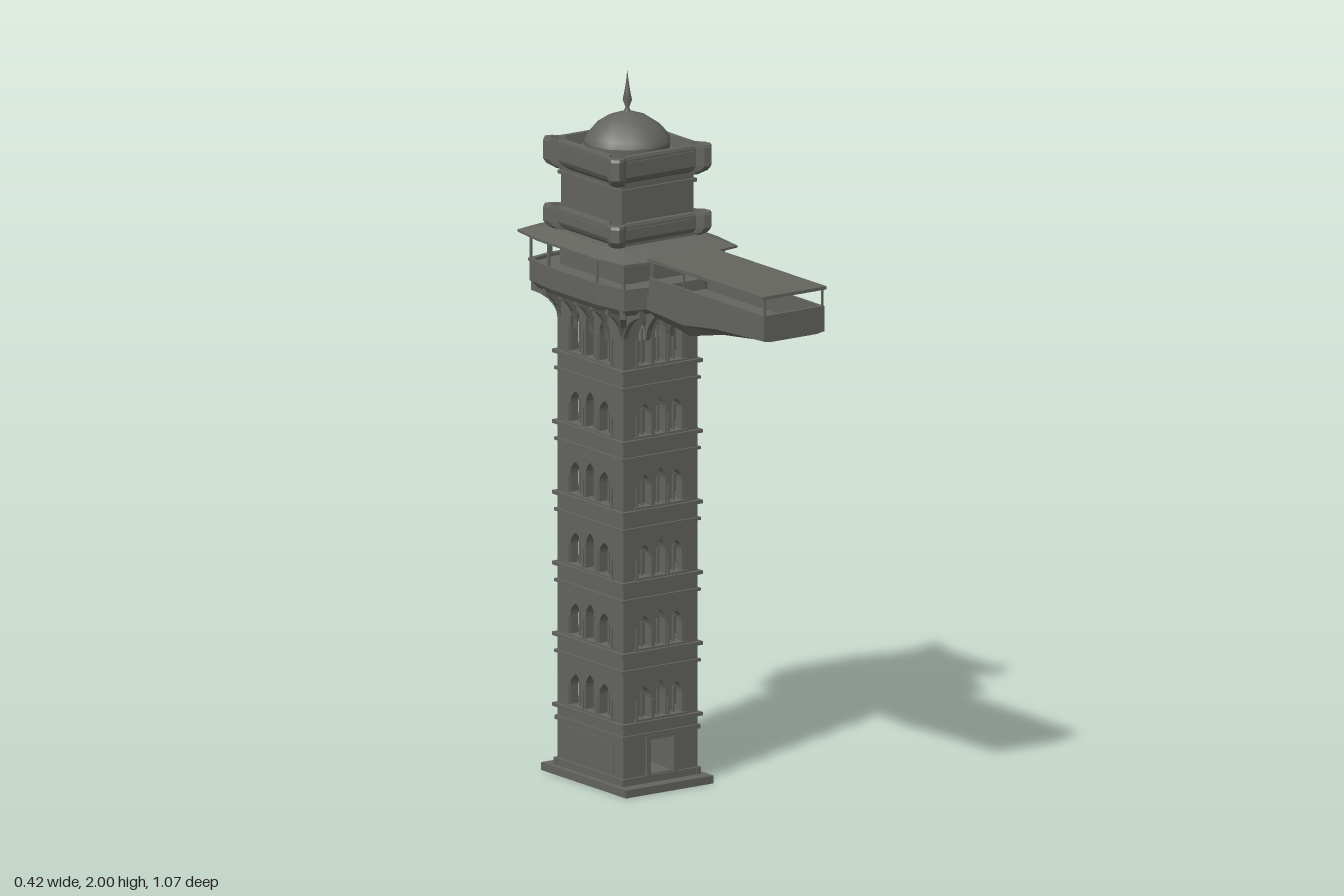
import * as THREE from 'three';

const CZ = -0.262; // tower axis in z
const HX = 0.125, HZ = 0.155; // tower half width and half depth
const WALL = 0.028;

export function createModel() {
  const model = new THREE.Group();
  model.name = 'lookoutTower';
  const stone = new THREE.MeshStandardMaterial({ color: 0x64645f });
  stone.name = 'dark grey stone';

  const tower = new THREE.Group();
  tower.name = 'tower';
  tower.position.z = CZ;
  model.add(tower);

  const add = (parent, name, geo, x = 0, y = 0, z = 0) => {
    const m = new THREE.Mesh(geo, stone);
    m.name = name;
    m.position.set(x, y, z);
    parent.add(m);
    return m;
  };
  const box = (parent, name, w, h, d, x, y, z) =>
    add(parent, name, new THREE.BoxGeometry(w, h, d), x, y + h / 2, z);

  // Flat-faced skin over a stack of equal-length rings, closed at both ends
  const loft = (rings) => {
    const pos = [];
    const tri = (...ps) => ps.forEach((p) => pos.push(...p));
    const n = rings[0].length;
    const mid = (r) => [0, 1, 2].map((k) => r.reduce((s, p) => s + p[k], 0) / n);
    const first = rings[0], last = rings[rings.length - 1];
    const c0 = mid(first), c1 = mid(last);
    for (let i = 0; i < n; i++) {
      const j = (i + 1) % n;
      for (let r = 0; r < rings.length - 1; r++) {
        const a = rings[r], b = rings[r + 1];
        tri(a[i], b[i], a[j]);
        tri(a[j], b[i], b[j]);
      }
      tri(c0, first[i], first[j]);
      tri(c1, last[j], last[i]);
    }
    const g = new THREE.BufferGeometry();
    g.setAttribute('position', new THREE.Float32BufferAttribute(pos, 3));
    g.computeVertexNormals();
    return g;
  };
  // Mirror a quarter outline (from the x axis to the z axis) into a full one
  const fourfold = (q) => {
    const half = [...q, ...[...q].reverse().map(([x, z]) => [-x, z])];
    return [...half, ...[...half].reverse().map(([x, z]) => [x, -z])];
  };
  // Levels are [scale, y]
  const stack = (outline, levels) =>
    loft(levels.map(([s, y]) => outline.map(([x, z]) => [x * s, y, z * s])));

  // Wall panel with openings [x, bottom, width, height, pointed]
  const wallPanel = (w, h, openings) => {
    const s = new THREE.Shape();
    s.moveTo(-w / 2, 0); s.lineTo(w / 2, 0); s.lineTo(w / 2, h); s.lineTo(-w / 2, h); s.closePath();
    for (const [x, y, ow, oh, pointed] of openings) {
      const p = new THREE.Path(), r = ow / 2, spring = pointed ? y + oh * 0.6 : y + oh;
      p.moveTo(x - r, y);
      p.lineTo(x - r, spring);
      if (pointed) {
        p.quadraticCurveTo(x - r, y + oh * 0.85, x, y + oh);
        p.quadraticCurveTo(x + r, y + oh * 0.85, x + r, spring);
      } else p.lineTo(x + r, spring);
      p.lineTo(x + r, y);
      p.closePath();
      s.holes.push(p);
    }
    return new THREE.ExtrudeGeometry(s, { depth: WALL, bevelEnabled: false, curveSegments: 4 });
  };
  // Four sides: [turn, half span, distance from the axis]
  const sides = [
    [0, HX, HZ], [Math.PI, HX, HZ], [Math.PI / 2, HZ, HX], [-Math.PI / 2, HZ, HX],
  ];
  const eachSide = (name, fn) => sides.forEach(([turn, span, dist], i) => {
    const g = new THREE.Group();
    g.name = name;
    g.rotation.y = turn;
    tower.add(g);
    fn(g, span, dist, i < 2);
  });

  // Plinth and ground storey with a passage from front to back
  box(tower, 'plinth', 0.296, 0.022, 0.4, 0, 0, 0);
  eachSide('groundStorey', (g, span, dist, hasDoor) => {
    const w = hasDoor ? 2 * (span - WALL) : 2 * span;
    add(g, 'groundWall', wallPanel(w, 0.17, hasDoor ? [[0.003, 0.025, 0.075, 0.095, false]] : []), 0, 0.02, dist - WALL);
    box(g, 'groundCorniceTrim', 2 * span + 0.012, 0.012, 0.012, 0, 0.15, dist);
    box(g, 'skirting', 2 * span + 0.016, 0.02, 0.014, 0, 0.022, dist);
    if (hasDoor) {
      for (const s of [-1, 1]) box(g, 'doorJamb', 0.014, 0.12, 0.012, 0.003 + s * 0.046, 0.03, dist);
      box(g, 'doorLintel', 0.11, 0.012, 0.014, 0.003, 0.142, dist);
    } else box(g, 'sidePanel', 0.22, 0.09, 0.006, 0, 0.05, dist);
  });

  // Six arcaded storeys around a solid core
  box(tower, 'core', 0.15, 1.07, 0.21, 0, 0.19, 0);
  for (let k = 0; k < 6; k++) {
    const y = 0.19 + k * 0.2, top = k === 5;
    box(tower, 'stringCourse', 2 * HX + 0.022, 0.01, 2 * HZ + 0.022, 0, y - 0.003, 0);
    if (!top) box(tower, 'upperStringCourse', 2 * HX + 0.014, 0.008, 2 * HZ + 0.014, 0, y + 0.15, 0);
    eachSide('storey', (g, span, dist, narrow) => {
      const step = narrow ? 0.053 : 0.068, ow = narrow ? 0.042 : 0.052;
      const rise = top ? 0.125 : 0.09;
      const arches = [-1, 0, 1].map((i) => [i * step, 0.014, i ? ow : ow * 0.85, i ? rise : rise + 0.012, true]);
      add(g, 'arcadeWall', wallPanel(narrow ? 2 * (span - WALL) : 2 * span, 0.2, arches), 0, y, dist - WALL);
      for (const i of [-1, 0, 1])
        add(g, 'mullion', new THREE.CylinderGeometry(0.0035, 0.0035, rise * 0.8, 6), i * step, y + 0.014 + rise * 0.4, dist - 0.014);
      for (const i of [-1.5, -0.5, 0.5, 1.5])
        box(g, 'archColumn', 0.007, rise * 0.62, 0.007, i * step, y + 0.01, dist);
      box(g, 'windowSill', 3 * step + 0.02, 0.006, 0.012, 0, y + 0.008, dist);
    });
  }

  // Curved brackets carrying the balcony
  const bracket = (reach) => {
    const s = new THREE.Shape();
    s.moveTo(0, 0);
    s.quadraticCurveTo(reach * 0.15, 0.075, reach, 0.09);
    s.lineTo(reach, 0.115);
    s.lineTo(0, 0.115);
    s.closePath();
    const g = new THREE.ExtrudeGeometry(s, { depth: 0.016, bevelEnabled: false, curveSegments: 5 });
    g.translate(0, 0, -0.008);
    g.rotateY(-Math.PI / 2);
    return g;
  };
  eachSide('bracketRow', (g, span, dist, narrow) => {
    const n = narrow ? 4 : 5;
    for (let i = 0; i < n; i++)
      add(g, 'bracket', bracket(narrow ? 0.08 : 0.055), (i / (n - 1) * 2 - 1) * (span - 0.008), 1.27, dist - 0.004);
  });
  for (const sx of [-1, 1]) for (const sz of [-1, 1]) {
    const b = add(tower, 'cornerBracket', bracket(0.085), sx * (HX - 0.008), 1.27, sz * (HZ - 0.008));
    b.rotation.y = Math.atan2(sx * 0.055, sz * 0.07);
  }

  // Balcony floor, parapet, posts and sloping roof
  const deck = fourfold([[0.21, 0.13], [0.192, 0.25], [0.1, 0.272]]);
  add(tower, 'balconyParapet', stack(deck, [[0.84, 1.368], [0.89, 1.385], [0.89, 1.44], [0.86, 1.44], [0.86, 1.395]]));
  add(tower, 'balconyRail', stack(deck, [[0.88, 1.438], [0.905, 1.44], [0.905, 1.447], [0.85, 1.447], [0.85, 1.438]]));
  for (const [x, z] of deck)
    box(tower, 'balconyPost', 0.006, 0.09, 0.006, x * 0.875, 1.44, z * 0.875);
  const roofPlan = [...deck];
  const front = (p) => [p[0], Math.min(p[1], 0.267)];
  const roofRing = (s, y) => roofPlan.map(front).map(([x, z]) => [x * s, y, z * s]);
  add(tower, 'balconyRoof', loft([roofRing(0.8, 1.528), roofRing(1, 1.519), roofRing(1, 1.525), roofRing(0.75, 1.545)]));

  // Upper shaft
  box(tower, 'balconyRoom', 2 * HX - 0.01, 0.19, 2 * HZ - 0.01, 0, 1.37, 0);
  box(tower, 'upperShaft', 0.242, 0.22, 0.285, 0, 1.54, 0);
  box(tower, 'upperShaftCornice', 0.256, 0.01, 0.3, 0, 1.695, 0);

  // Two parapet crowns with rounded corner bastions
  const crown = fourfold([
    [0.148, 0.05], [0.148, 0.12], [0.166, 0.137], [0.17, 0.16],
    [0.155, 0.178], [0.135, 0.174], [0.118, 0.158], [0.05, 0.158],
  ]);
  for (const [y, h] of [[1.54, 0.07], [1.715, 0.085]]) {
    add(tower, 'crownParapet', stack(crown, [
      [0.84, y], [0.96, y + 0.014], [1, y + 0.026], [1, y + h - 0.008], [0.985, y + h],
      [0.9, y + h], [0.87, y + h - 0.03],
    ]));
    eachSide('crownTrim', (g, span, dist) =>
      box(g, 'crownMoulding', 2 * span - 0.03, 0.007, 0.01, 0, y + h - 0.022, dist + (dist === HX ? 0.021 : 0.002)));
  }

  // Dome and spire
  const lathe = (pts, n) => new THREE.LatheGeometry(pts.map(([r, y]) => new THREE.Vector2(r, y)), n);
  add(tower, 'domeDrum', new THREE.CylinderGeometry(0.118, 0.118, 0.04, 12), 0, 1.785, 0);
  add(tower, 'dome', lathe([[0.12, 1.8], [0.113, 1.818], [0.09, 1.845], [0.055, 1.868], [0.02, 1.88], [0, 1.885]], 12));
  add(tower, 'spire', lathe([[0.014, 1.876], [0.005, 1.893], [0.013, 1.915], [0.007, 1.945], [0.004, 1.965], [0, 2]], 8));

  // Covered walkway reaching forward from the balcony
  const walkway = new THREE.Group();
  walkway.name = 'walkway';
  model.add(walkway);
  const X0 = -0.005, W = 0.102;
  const hullRing = ([z, low, side]) => [
    [X0 - W, 1.415, z], [X0 + W, 1.415, z], [X0 + W, side, z],
    [X0 + 0.075, low, z], [X0 - 0.075, low, z], [X0 - W, side, z],
  ];
  add(walkway, 'walkwayHull', loft([
    [-0.02, 1.36, 1.385], [0.08, 1.35, 1.38], [0.145, 1.34, 1.375], [0.3, 1.375, 1.395], [0.53, 1.402, 1.406],
  ].map(hullRing)));
  for (const s of [-1, 1]) {
    box(walkway, 'walkwayParapet', 0.008, 0.068, 0.54, X0 + s * (W - 0.004), 1.41, 0.26);
    for (const z of [0.004, 0.145, 0.526])
      box(walkway, 'walkwayPost', 0.005, 0.055, 0.005, X0 + s * (W - 0.005), 1.475, z);
  }
  box(walkway, 'walkwayEndParapet', 2 * W, 0.068, 0.008, X0, 1.41, 0.526);
  box(walkway, 'walkwayRoof', 0.216, 0.009, 0.545, X0 - 0.002, 1.525, 0.2625);

  return model;
}
